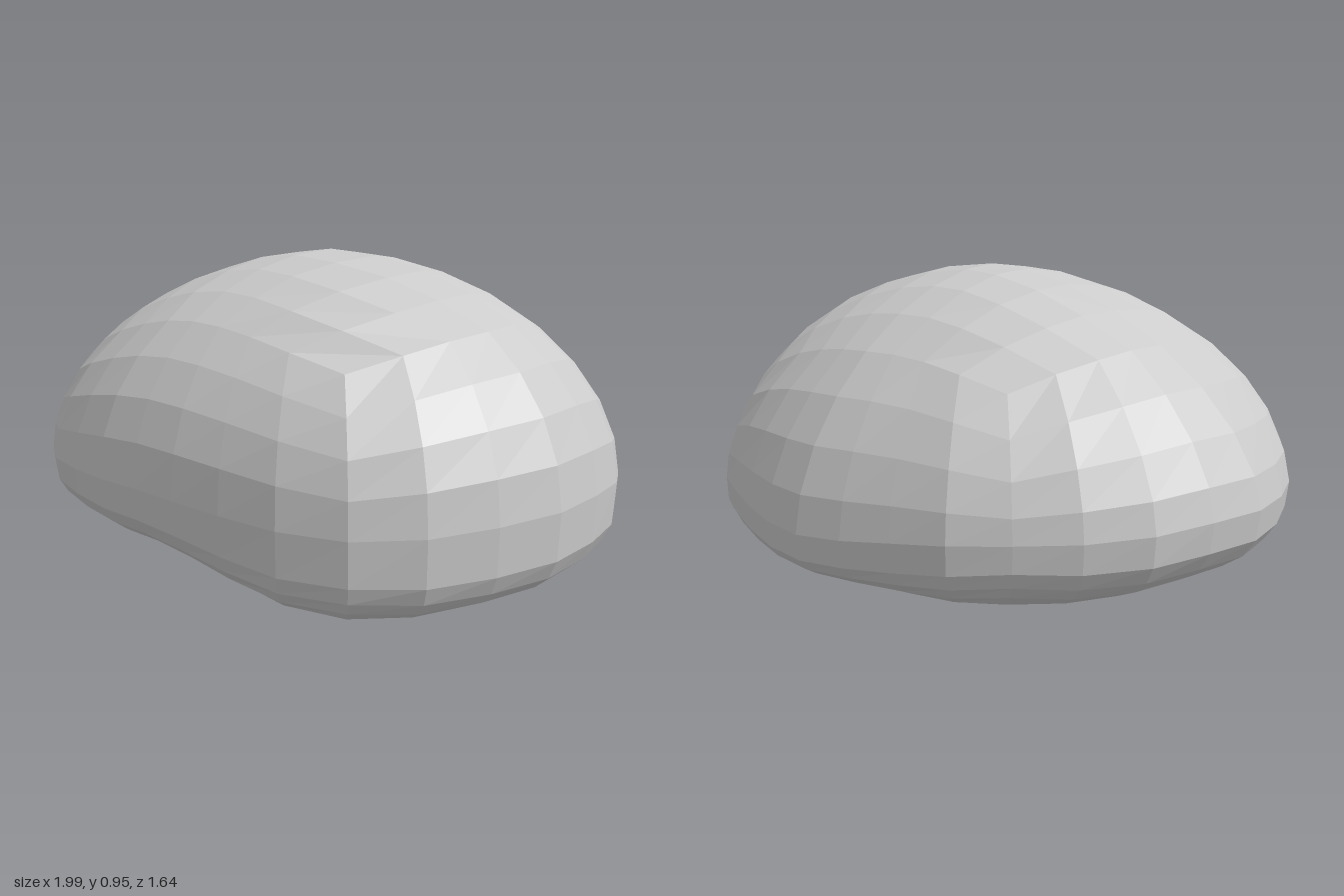
import * as THREE from 'three';

// Plan outline of the boulder (x, z), running from -x round through -z, +x and +z
const OUTLINE = [
  [-1, -0.06], [-0.87, -0.44], [-0.52, -0.72], [-0.27, -0.78], [-0.04, -0.83], [0.22, -0.79],
  [0.45, -0.7], [0.66, -0.59], [0.8, -0.44], [0.9, -0.3], [0.97, -0.13], [1, 0.05], [1, 0.2],
  [0.96, 0.33], [0.9, 0.49], [0.76, 0.68], [0.48, 0.79], [0.13, 0.82], [-0.24, 0.81],
  [-0.55, 0.72], [-0.77, 0.54], [-0.93, 0.29],
];

// Every 45 degrees from +x towards +z
const WAIST = [0.33, 0.3, 0.33, 0.32, 0.3, 0.26, 0.22, 0.27]; // height of the widest point
const DOME = [2, 2.1, 2.05, 1.85, 1.65, 1.7, 1.72, 1.8]; // fullness above it
const BELLY = [4, 4.5, 3.5, 3, 2.9, 3.2, 4, 3.8]; // fullness below it
const FLOOR = [0.02, 0, 0.09, 0.1, 0.03, 0, 0.05, 0.07]; // height of the underside rim
const TOP = 0.96, HOLLOW = 0.04;

// Distance from the centre to the outline along a direction
function outlineRadius(angle) {
  const dx = Math.cos(angle), dz = Math.sin(angle);
  for (let i = 0; i < OUTLINE.length; i++) {
    const [ax, az] = OUTLINE[i], [bx, bz] = OUTLINE[(i + 1) % OUTLINE.length];
    if (ax * dz - az * dx >= 0 && dx * bz - dz * bx >= 0) {
      return (ax * bz - az * bx) / (dx * (bz - az) - dz * (bx - ax));
    }
  }
  return 1;
}

// Smooth blend between the entries of a 45 degree table
function around(table, angle) {
  const t = ((angle / (2 * Math.PI)) * 8 + 8) % 8;
  const i = Math.floor(t);
  return THREE.MathUtils.lerp(table[i % 8], table[(i + 1) % 8], THREE.MathUtils.smoothstep(t - i, 0, 1));
}

// Move a point of the unit sphere onto the boulder
function toBoulder(p) {
  const angle = Math.atan2(p.z, p.x);
  const power = around(p.y >= 0 ? DOME : BELLY, angle);
  const out = Math.pow(Math.hypot(p.x, p.z), 2 / power);
  const rise = Math.pow(Math.abs(p.y), 2 / power);
  const rim = THREE.MathUtils.lerp(HOLLOW, around(FLOOR, angle), Math.min(1, out / 0.6));
  const y = THREE.MathUtils.lerp(around(WAIST, angle), p.y >= 0 ? TOP : rim, rise);
  const r = outlineRadius(angle) * out;
  p.set(Math.cos(angle) * r, y, Math.sin(angle) * r);
}

export function createModel() {
  const group = new THREE.Group();
  group.name = 'boulder';

  // Cube grid blown up to a sphere, then shaped
  const geometry = new THREE.BoxGeometry(2, 2, 2, 8, 8, 8);
  const pos = geometry.attributes.position;
  const p = new THREE.Vector3();
  for (let i = 0; i < pos.count; i++) {
    p.fromBufferAttribute(pos, i);
    p.set(...p.toArray().map((c) => Math.tan(c * Math.PI / 4))).normalize();
    toBoulder(p);
    pos.setXYZ(i, p.x, p.y, p.z);
  }
  geometry.computeVertexNormals();

  const stone = new THREE.Mesh(
    geometry,
    new THREE.MeshStandardMaterial({ color: 0xcccccc, flatShading: true }),
  );
  stone.name = 'stone';
  group.add(stone);
  return group;
}
